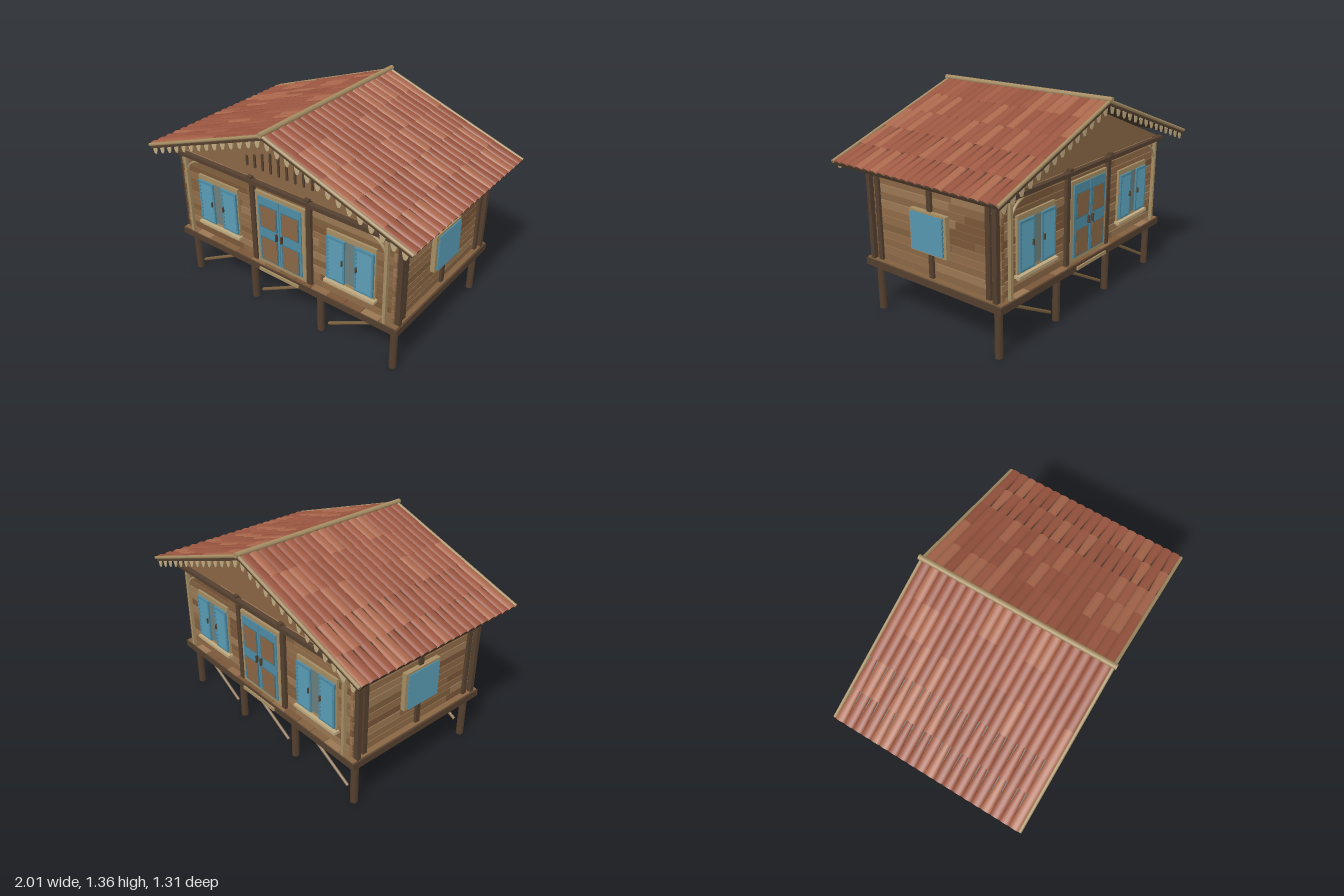
import * as THREE from 'three';

const DARK = 0x54402f, WALL = 0x8a6645, TAN = 0xa58d63, BLUE = 0x4f8ca3, PALE = 0xc0aa80;
const PLANKS = [0x8a6645, 0x81603f, 0x8f6b48, 0x7a5739, 0x9a7853];
const TILES = [0x9a5640, 0x95523d, 0xa05a43, 0x9a5640, 0xa9674c];

const materials = {};
function mat(color) {
  return materials[color] ??= new THREE.MeshStandardMaterial({ color, side: THREE.DoubleSide });
}
let seed = 7;
const rand = () => (seed = (seed * 16807) % 2147483647) / 2147483647;
const pick = list => list[Math.floor(rand() * list.length)];

function add(parent, name, geometry, color, x = 0, y = 0, z = 0) {
  const m = new THREE.Mesh(geometry, mat(color));
  m.name = name;
  m.position.set(x, y, z);
  parent.add(m);
  return m;
}
const box = (parent, name, w, h, d, x, y, z, color) =>
  add(parent, name, new THREE.BoxGeometry(w, h, d), color, x, y, z);

// Round pole between two points
function pole(parent, name, a, b, r, color, sides = 8) {
  const p = new THREE.Vector3(...a), q = new THREE.Vector3(...b);
  const m = add(parent, name, new THREE.CylinderGeometry(r, r, p.distanceTo(q), sides), color);
  m.position.copy(p).lerp(q, 0.5);
  m.quaternion.setFromUnitVectors(new THREE.Vector3(0, 1, 0), q.sub(p).normalize());
}

function group(parent, name, turn = 0) {
  const g = new THREE.Group();
  g.name = name;
  g.rotation.y = turn;
  parent.add(g);
  return g;
}

// Rows of horizontal boards, each row cut into a few lengths
function plankWall(parent, length, z) {
  const rows = 12, h = 0.585 / rows;
  for (let i = 0; i < rows; i++) {
    let x = -length / 2;
    while (x < length / 2 - 0.001) {
      let w = 0.3 + rand() * 0.5;
      if (x + w > length / 2 - 0.15) w = length / 2 - x;
      box(parent, 'wallPlank', w, h - 0.005, 0.02, x + w / 2, 0.357 + (i + 0.5) * h, z, pick(PLANKS));
      x += w;
    }
  }
}

function shutteredWindow(parent, x) {
  const g = group(parent, 'window');
  g.position.set(x, 0, 0.5);
  box(g, 'windowFrame', 0.345, 0.345, 0.02, 0, 0.64, 0.005, TAN);
  box(g, 'windowPane', 0.29, 0.29, 0.01, 0, 0.635, 0.013, 0x6b7f7c);
  box(g, 'sill', 0.365, 0.018, 0.045, 0, 0.457, 0.015, PALE);
  box(g, 'sillApron', 0.33, 0.018, 0.025, 0, 0.438, 0.012, TAN);
  for (const s of [-1, 1]) {
    for (const e of [-1, 1]) {
      box(g, 'shutterStile', 0.014, 0.3, 0.016, s * 0.1 + e * 0.058, 0.63, 0.021, BLUE);
      box(g, 'shutterRail', 0.13, 0.016, 0.016, s * 0.1, 0.63 + e * 0.142, 0.021, BLUE);
    }
    for (let i = 0; i < 10; i++) {
      box(g, 'shutterSlat', 0.115, 0.026, 0.006, s * 0.1, 0.505 + i * 0.028, 0.023, BLUE).rotation.x = -0.4;
    }
    box(g, 'shutterLatch', 0.008, 0.035, 0.012, s * 0.05, 0.63, 0.032, DARK);
  }
}

function doubleDoor(parent) {
  const g = group(parent, 'door');
  g.position.z = 0.5;
  box(g, 'doorFrame', 0.39, 0.52, 0.02, 0, 0.615, 0.008, TAN);
  for (const s of [-1, 1]) {
    box(g, 'doorLeaf', 0.168, 0.465, 0.016, s * 0.086, 0.617, 0.017, BLUE);
    for (const [y, h] of [[0.715, 0.15], [0.478, 0.165]]) {
      box(g, 'panelMoulding', 0.136, h + 0.012, 0.006, s * 0.086, y, 0.026, 0x3c7488);
      box(g, 'doorPanel', 0.122, h, 0.008, s * 0.086, y, 0.027, WALL);
    }
    box(g, 'doorHandle', 0.009, 0.05, 0.02, s * 0.021, 0.6, 0.032, DARK);
  }
  box(g, 'doorStep', 0.32, 0.022, 0.02, 0, 0.322, 0.045, TAN);
}

// Long facade: boards, posts, beam, windows, door, corner brackets
function facade(parent, name, turn) {
  const g = group(parent, name, turn);
  plankWall(g, 1.66, 0.49);
  for (const s of [-1, 1]) {
    box(g, 'wallPost', 0.034, 0.6, 0.03, s * 0.222, 0.65, 0.506, DARK);
    box(g, 'cornerPost', 0.032, 0.6, 0.03, s * 0.85, 0.65, 0.493, DARK);
    box(g, 'beamBlock', 0.035, 0.016, 0.03, s * 0.222, 0.957, 0.525, DARK);
    box(g, 'porchPost', 0.02, 0.57, 0.022, s * 0.78, 0.64, 0.534, TAN);
    const curve = new THREE.QuadraticBezierCurve3(
      new THREE.Vector3(s * 0.775, 0.82, 0.532), new THREE.Vector3(s * 0.75, 0.91, 0.532),
      new THREE.Vector3(s * 0.63, 0.925, 0.532));
    add(g, 'curvedBracket', new THREE.TubeGeometry(curve, 10, 0.009, 6), TAN);
    shutteredWindow(g, s * 0.525);
  }
  box(g, 'topBeam', 1.75, 0.026, 0.034, 0, 0.938, 0.53, DARK);
  doubleDoor(g);
}

// Short side wall: boards, uprights and louvred window, built facing +z
function sideWall(parent, name, turn) {
  const g = group(parent, name, turn);
  plankWall(g, 1.04, 0.825);
  for (const x of [-0.435, 0, 0.435]) box(g, 'sidePost', 0.032, 0.6, 0.02, x, 0.655, 0.842, DARK);
  box(g, 'sideWindowFrame', 0.285, 0.255, 0.03, 0, 0.638, 0.85, TAN);
  for (let i = 0; i < 7; i++) {
    box(g, 'sideWindowSlat', 0.25, 0.029, 0.012, 0, 0.537 + i * 0.0337, 0.873, BLUE).rotation.x = -0.25;
  }
}

// Half-barrel roof tile with its axis along x, upper end towards -x
function tileGeometry(rTop, rBottom, length) {
  return new THREE.CylinderGeometry(rTop, rBottom, length, 8, 1, true, -Math.PI / 2, Math.PI)
    .rotateX(-Math.PI / 2).rotateY(Math.PI / 2).scale(1, 0.5, 1);
}

function roofSlope(parent, name, turn) {
  const g = group(group(parent, name, turn), 'slope');
  g.position.y = 1.332;
  g.rotation.z = -Math.atan(0.36);
  const L = 1.055, rows = 20, courses = 5, pitch = 1.26 / rows, step = L / courses;
  box(g, 'roofBoard', L, 0.02, 1.26, L / 2, -0.01, 0, 0x4a3a2b);
  const straight = tileGeometry(0.032, 0.0335, step + 0.015);
  const tapered = tileGeometry(0.021, 0.034, step + 0.015);
  for (let r = 0; r < rows; r++) {
    for (let c = 0; c < courses; c++) {
      const geo = r % 2 && c >= 3 ? tapered : straight;
      const t = add(g, 'roofTile', geo, pick(TILES), (c + 0.5) * step, 0.001, -0.63 + (r + 0.5) * pitch);
      t.rotation.z = 0.012;
    }
  }
  for (const s of [-1, 1]) {
    pole(g, 'rakePole', [0, 0.006, s * 0.636], [L + 0.005, 0.006, s * 0.636], 0.011, TAN);
    box(g, 'rakeBoard', L, 0.016, 0.014, L / 2, -0.012, s * 0.63, DARK);
  }
}

// Scalloped pendants under the gable edges
function pendants(parent) {
  const cup = new THREE.Shape();
  cup.moveTo(-0.02, 0);
  cup.quadraticCurveTo(-0.018, -0.03, -0.007, -0.045);
  cup.lineTo(0.007, -0.045);
  cup.quadraticCurveTo(0.018, -0.03, 0.02, 0);
  const geo = new THREE.ExtrudeGeometry(cup, { depth: 0.006, bevelEnabled: false, curveSegments: 4 });
  for (const z of [-0.636, 0.63]) for (const s of [-1, 1]) for (let i = 0; i < 14; i++) {
    const x = 0.037 + i * 0.0702;
    add(parent, 'pendant', geo, PALE, s * x, 1.315 - x * 0.36, z);
  }
}

export function createModel() {
  const model = new THREE.Group();
  model.name = 'stiltCabin';

  // Stilts and diagonal braces
  for (const z of [-0.48, 0.48]) {
    for (const x of [-0.82, -0.278, 0.278, 0.82]) pole(model, 'stilt', [x, 0, z], [x, 0.31, z], 0.024, DARK);
    for (const x of [-0.765, -0.21, 0.345])
      pole(model, 'diagonalBrace', [x, 0.082, z], [x + 0.412, 0.305, z], 0.011, 0x7d6240, 6);
  }

  // Platform with floor boards showing at the rim
  box(model, 'platform', 1.75, 0.044, 1.09, 0, 0.325, 0, DARK);
  for (let i = 0; i < 14; i++) {
    box(model, 'floorBoard', 0.12, 0.008, 1.08, -0.806 + i * 0.124, 0.35, 0, pick(PLANKS));
  }

  // Walls
  box(model, 'wallCore', 1.64, 0.595, 0.97, 0, 0.65, 0, 0x4a3826);
  facade(model, 'frontFacade', 0);
  facade(model, 'backFacade', Math.PI);
  sideWall(model, 'leftWall', Math.PI / 2);
  sideWall(model, 'rightWall', -Math.PI / 2);

  // Attic and gable vents
  const gable = new THREE.Shape([[-0.86, 0.95], [0.86, 0.95], [0, 1.29]].map(p => new THREE.Vector2(...p)));
  add(model, 'attic', new THREE.ExtrudeGeometry(gable, { depth: 1.01, bevelEnabled: false }), WALL, 0, 0, -0.505);
  for (let i = -4; i <= 4; i++) {
    const h = 0.155 - Math.abs(i) * 0.0225;
    box(model, 'gableVent', 0.014, h, 0.012, i * 0.0625, 1.025 + h / 2, 0.508, DARK);
  }

  // Roof
  roofSlope(model, 'leftRoof', 0);
  roofSlope(model, 'rightRoof', Math.PI);
  pole(model, 'ridgePole', [0, 1.347, -0.655], [0, 1.347, 0.655], 0.017, TAN, 10);
  pendants(model);
  return model;
}
